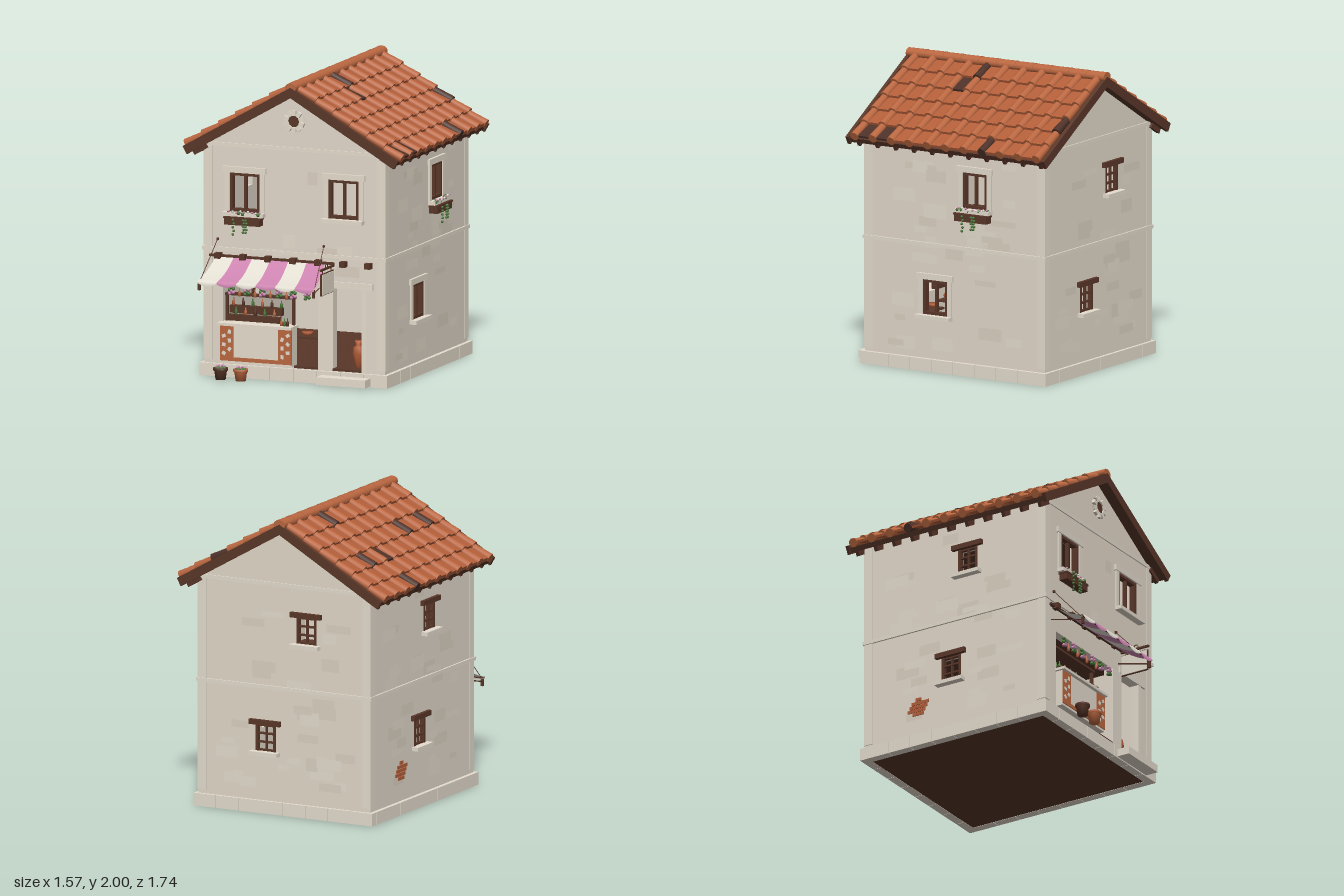
import * as THREE from 'three';
import { mergeGeometries } from 'three/addons/utils/BufferGeometryUtils.js';

const mat = (name, color, side = THREE.FrontSide) => {
  const m = new THREE.MeshStandardMaterial({ color, side });
  m.name = name;
  return m;
};
const M = {
  plaster: mat('plaster', 0xe4dacb), worn: mat('wornPlaster', 0xdcd2c2), stone: mat('paleStone', 0xe6ddce),
  wood: mat('darkWood', 0x5a3729), tile: mat('terracotta', 0xbc6841), pan: mat('deepTerracotta', 0xb45e3a),
  burnt: mat('burntTile', 0x4e3229), pink: mat('mauve', 0xcd84b0, THREE.DoubleSide),
  cloth: mat('offWhite', 0xe4dfd3, THREE.DoubleSide), green: mat('leafGreen', 0x4c7a3a),
};

const box = (w, h, d, x = 0, y = 0, z = 0) => new THREE.BoxGeometry(w, h, d).translate(x, y, z);
// box given by its limits
const span = (x0, x1, y0, y1, z0, z1) => box(x1 - x0, y1 - y0, z1 - z0, (x0 + x1) / 2, (y0 + y1) / 2, (z0 + z1) / 2);
const ball = (r, x, y, z) => new THREE.SphereGeometry(r, 10, 7).translate(x, y, z);
const lathe = (pts, x, y, z) =>
  new THREE.LatheGeometry(pts.map(p => new THREE.Vector2(...p)), 12).translate(x, y, z);
const rod = (a, b, r) => {
  const p = new THREE.Vector3(...a), d = new THREE.Vector3(...b).sub(p);
  const q = new THREE.Quaternion().setFromUnitVectors(new THREE.Vector3(0, 1, 0), d.clone().normalize());
  return new THREE.CylinderGeometry(r, r, d.length(), 6).applyQuaternion(q).translate(...p.addScaledVector(d, 0.5).toArray());
};
function add(parent, name, material, ...geos) {
  const mesh = new THREE.Mesh(mergeGeometries(geos.flat().map(g => (g.index ? g.toNonIndexed() : g))), material);
  mesh.name = name;
  parent.add(mesh);
}
function group(parent, name, x = 0, y = 0, z = 0, ry = 0) {
  const g = new THREE.Group();
  g.name = name;
  g.position.set(x, y, z);
  g.rotation.y = ry;
  parent.add(g);
  return g;
}
let seed = 7;
const rnd = () => (seed = (seed * 16807) % 2147483647) / 2147483647;

// Wall with rectangular openings [x0, x1, y0, y1]; its outer face lies on local z = 0
function wall(parent, outline, holes, reach) {
  const shape = new THREE.Shape(outline.map(p => new THREE.Vector2(...p)));
  for (const [a, b, c, d] of holes)
    shape.holes.push(new THREE.Path([[a, c], [a, d], [b, d], [b, c]].map(p => new THREE.Vector2(...p))));
  add(parent, 'wall', M.plaster, new THREE.ExtrudeGeometry(shape, { depth: 0.06, bevelEnabled: false }).translate(0, 0, -0.06));
  const patches = [[], []];
  for (let i = 0; i < 40; i++) {
    const x = reach[0] + 0.18 + rnd() * (reach[1] - reach[0] - 0.36), y = 0.16 + rnd() * 1.3;
    const w = 0.035 + rnd() * 0.06, h = 0.018 + rnd() * 0.028;
    const hit = holes.some(([a, b, c, d]) => x + w > a - 0.05 && x - w < b + 0.05 && y + h > c - 0.05 && y - h < d + 0.05);
    if (!hit) patches[i % 2].push(new THREE.PlaneGeometry(w * 2, h * 2).translate(x, y, 0.0006 + i * 0.00003));
  }
  add(parent, 'wornPatches', M.worn, patches[0]);
  add(parent, 'palePatches', M.stone, patches[1]);
}

// Frame with a mullion and stone surround
function largeWindow(parent, [x0, x1, y0, y1]) {
  const g = group(parent, 'largeWindow', (x0 + x1) / 2, (y0 + y1) / 2, 0), w = x1 - x0, h = y1 - y0, t = 0.02;
  add(g, 'woodFrame', M.wood, box(w, t, 0.04, 0, h / 2 - t / 2, -0.015), box(w, t, 0.04, 0, -h / 2 + t / 2, -0.015),
    [-1, 1].map(s => box(t, h, 0.04, s * (w - t) / 2, 0, -0.015)), box(0.016, h, 0.025, 0, 0, -0.015));
  add(g, 'stoneSurround', M.stone, [-1, 1].map(s => box(0.034, h, 0.024, s * (w / 2 + 0.017), 0, 0)),
    box(w + 0.09, 0.04, 0.03, 0, h / 2 + 0.02, 0.003), box(w + 0.075, 0.026, 0.07, 0, -h / 2 - 0.013, 0.015));
}
// Latticed window with a timber lintel and a stone sill
function smallWindow(parent, [x0, x1, y0, y1]) {
  const g = group(parent, 'smallWindow', (x0 + x1) / 2, (y0 + y1) / 2, 0), w = x1 - x0, h = y1 - y0;
  add(g, 'lattice', M.wood, [-1, 1].map(s => box(0.018, h, 0.03, s * (w / 2 - 0.009), 0, -0.012)), box(0.01, h, 0.02, 0, 0, -0.012),
    [-0.46, -0.16, 0.16, 0.46].map(k => box(w, 0.012, 0.02, 0, k * h, -0.012)), box(0.23, 0.034, 0.05, 0, h / 2 + 0.015, 0));
  add(g, 'sill', M.stone, box(0.21, 0.026, 0.08, 0, -h / 2 - 0.012, 0.007));
}
function flowerBox(parent, x, y) {
  const g = group(parent, 'flowerBox', x, y, 0.035);
  const leaves = [], blooms = [[], []];
  add(g, 'planter', M.wood, box(0.25, 0.052, 0.06), box(0.262, 0.012, 0.066, 0, 0.022, 0));
  for (let i = 0; i < 9; i++) {
    const px = -0.11 + i * 0.0275, py = 0.038 + rnd() * 0.016;
    leaves.push(ball(0.013, px, py, rnd() * 0.03 - 0.015));
    blooms[i % 2].push(ball(0.008, px + 0.01, py + 0.012, 0.012));
  }
  for (const px of [-0.06, 0.012, 0.03])
    for (let k = 0; k < 5; k++) leaves.push(ball(0.009, px + (k % 2) * 0.006, 0.01 - k * 0.022 * (px < 0 ? 1.1 : 0.9), 0.037));
  add(g, 'foliage', M.green, leaves);
  add(g, 'mauveBlooms', M.pink, blooms[0]);
  add(g, 'whiteBlooms', M.cloth, blooms[1]);
}

function buildWalls(house) {
  const gable = [[-0.643, 0.08], [0.643, 0.08], [0.643, 1.535], [0, 1.905], [-0.643, 1.535]];
  const side = (a, b) => [[a, 0.08], [b, 0.08], [b, 1.54], [a, 1.54]];
  const front = group(house, 'frontWall', 0, 0, 0.606), back = group(house, 'backWall', 0, 0, -0.798, Math.PI);
  const left = group(house, 'leftWall', 0.643, 0, 0, Math.PI / 2), right = group(house, 'rightWall', -0.643, 0, 0, -Math.PI / 2);
  const fw = [[-0.46, -0.245, 1.105, 1.365], [0.243, 0.46, 1.105, 1.365]];
  wall(front, gable, [...fw, [-0.51, 0.17, 0.1, 0.64], [0.275, 0.48, 0.1, 0.64]], [-0.643, 0.643]);
  fw.forEach(w => largeWindow(front, w));
  flowerBox(front, -0.35, 1.05);
  const lw = [[0.16, 0.35, 1.125, 1.365], [-0.15, 0.04, 0.38, 0.615]];
  wall(left, side(-0.55, 0.74), lw, [-0.55, 0.74]);
  lw.forEach(w => largeWindow(left, w));
  flowerBox(left, 0.255, 1.07);
  const bw = [[0.09, 0.24, 1.165, 1.345], [-0.215, -0.065, 0.415, 0.595]];
  wall(back, gable, bw, [-0.643, 0.643]);
  bw.forEach(w => smallWindow(back, w));
  const rw = [[-0.07, 0.08, 1.165, 1.345], [-0.2, -0.05, 0.415, 0.595]];
  wall(right, side(-0.74, 0.55), rw, [-0.74, 0.55]);
  rw.forEach(w => smallWindow(right, w));
  // bare brick showing through the plaster
  add(right, 'exposedBricks', M.pan, [[-0.5, -2], [0.4, -2], [0, -1], [1, -1], [-1, -1], [-1, 0], [0, 0], [1, 0], [0, 1], [1, 1], [-1, 1], [0, 2]].map(([i, j]) =>
    box(0.043, 0.022, 0.008, -0.38 + i * 0.046 + (j % 2) * 0.014, 0.29 + j * 0.026, 0.002)));
  // round gable vent
  add(front, 'ventRing', M.stone, Array.from({ length: 10 }, (_, i) =>
    box(0.028, 0.036, 0.03, 0, 0.056, 0.005).rotateZ(i * Math.PI / 5).translate(0, 1.735, 0)));
  add(front, 'ventCover', M.wood, new THREE.CylinderGeometry(0.044, 0.044, 0.02, 16).rotateX(Math.PI / 2).translate(0, 1.735, 0));
  // corner strips and string courses
  const trim = [];
  for (const x of [-0.617, 0.617]) for (const z of [0.58, -0.77]) trim.push(span(x - 0.031, x + 0.031, 0.11, 1.54, z - 0.033, z + 0.031));
  trim.push(span(-0.655, 0.655, 0.838, 0.862, 0.55, 0.617), span(-0.655, 0.655, 0.838, 0.862, -0.809, -0.74));
  for (const s of [-1, 1]) trim.push(box(0.05, 0.024, 1.43, s * 0.63, 0.85, -0.095));
  trim.push(span(-0.635, 0.635, 1.535, 1.56, 0.56, 0.614), span(-0.635, 0.635, 1.535, 1.56, -0.806, -0.75));
  add(house, 'cornerStripsAndBands', M.stone, trim);
  // plinth stones and plank floors
  const stones = [], planks = [];
  for (let i = 0; i < 8; i++) {
    for (const z of [0.6, -0.79]) stones.push(box(0.165, 0.085, 0.06, -0.5865 + i * 0.1676, 0.0425, z));
    for (const x of [-0.64, 0.64]) stones.push(box(0.06, 0.085, 0.165, x, 0.0425, -0.683 + i * 0.168));
  }
  for (const z of [0.596, -0.786]) stones.push(box(1.3, 0.078, 0.055, 0, 0.0425, z));
  for (const x of [-0.636, 0.636]) stones.push(box(0.055, 0.078, 1.38, x, 0.0425, -0.095));
  add(house, 'plinthStones', M.stone, stones);
  for (let i = 0; i < 11; i++) for (const y of [0.09, 0.855]) planks.push(box(1.2, 0.016, 0.116, 0, y, -0.69 + i * 0.12));
  add(house, 'floors', M.wood, span(-0.615, 0.615, 0.002, 0.08, -0.765, 0.575), planks, box(1.2, 0.01, 1.33, 0, 0.84, -0.09));
}

function buildRoof(house) {
  const roof = group(house, 'roof', 0, 1.9, -0.1), slope = Math.atan(0.575), step = 0.142;
  // burnt tiles as "course,row" for each side
  const sides = [
    { name: 'leftSlope', s: 1, covers: ['3,-5', '5,-2', '0,1'], pans: ['1,1', '5,3', '5,4'] },
    { name: 'rightSlope', s: -1, covers: ['5,-2', '3,-3', '0,-2', '2,2', '2,4'], pans: ['3,-2'] }];
  for (const { name, s, covers, pans } of sides) {
    const g = group(roof, name);
    g.rotation.set(0, s > 0 ? 0 : Math.PI, -slope);
    const cover = [], pan = [], burnt = [], tails = [];
    for (let j = -5; j <= 5; j++) {
      tails.push(span(0.72, 0.83, -0.025, 0.012, s * j * step - 0.012, s * j * step + 0.012));
      for (let i = 0; i < 6; i++) {
        const u = 0.005 + (i + 0.5) * 0.14;
        const c = new THREE.CylinderGeometry(0.026, 0.031, 0.148, 10).rotateZ(Math.PI / 2 + 0.08).translate(u, 0.064, s * j * step);
        (covers.includes(`${i},${j}`) ? burnt : cover).push(c);
        if (j === 5) continue;
        const p = box(0.148, 0.016, 0.124).rotateZ(0.15).translate(u - 0.004, 0.058, s * (j + 0.5) * step);
        (pans.includes(`${i},${j}`) ? burnt : pan).push(p);
      }
    }
    add(g, 'coverTiles', M.tile, cover);
    add(g, 'panTiles', M.pan, pan);
    add(g, 'burntTiles', M.burnt, burnt);
    add(g, 'deckAndBargeboards', M.wood, tails, span(0, 0.838, 0.008, 0.042, -0.76, 0.77),
      [-0.76, 0.77].map(z => span(-0.035, 0.85, 0, 0.06, s * z - 0.012, s * z + 0.012)));
  }
  // broad, shallow ridge caps
  add(roof, 'ridgeTiles', M.tile, Array.from({ length: 11 }, (_, i) =>
    new THREE.CylinderGeometry(0.04, 0.043, 0.15, 12).rotateX(Math.PI / 2).scale(1, 0.8, 1).translate(0, 0.066, -0.695 + i * 0.14)));
}

function buildShop(house) {
  const shop = group(house, 'shopFront');
  // counter with chipped terracotta panels
  add(shop, 'counter', M.stone, span(-0.51, 0, 0.1, 0.35, 0.57, 0.655), span(-0.525, 0.005, 0.35, 0.368, 0.55, 0.68));
  add(shop, 'counterPanels', M.tile, span(-0.51, -0.415, 0.115, 0.35, 0.655, 0.661), span(-0.095, 0, 0.115, 0.35, 0.655, 0.661),
    span(-0.415, -0.095, 0.115, 0.14, 0.655, 0.661));
  add(shop, 'panelChips', M.cloth, [-0.463, -0.048].flatMap(x => Array.from({ length: 6 }, (_, i) =>
    box(0.026, 0.022, 0.004).rotateZ(rnd() * 3).translate(x + (i % 2 ? 0.022 : -0.018), 0.165 + i * 0.029, 0.662))));
  // display frame, crates and inner shelf
  add(shop, 'displayFrame', M.wood, [-0.495, -0.02].map(x => span(x - 0.008, x + 0.008, 0.365, 0.555, 0.56, 0.58)),
    span(-0.503, -0.012, 0.54, 0.556, 0.55, 0.59), span(-0.49, -0.12, 0.37, 0.41, 0.54, 0.58), span(-0.49, -0.12, 0.414, 0.465, 0.5, 0.54),
    span(0, 0.17, 0.275, 0.288, 0.4, 0.54), span(0, 0.17, 0.09, 0.105, 0.55, 0.615), span(0.275, 0.48, 0.09, 0.105, 0.55, 0.615));
  const bottle = [[0, 0], [0.01, 0], [0.01, 0.026], [0.004, 0.036], [0.004, 0.05], [0, 0.05]];
  const row = [[], [], []];
  for (let i = 0; i < 11; i++) row[i % 3].push(lathe(bottle, -0.47 + i * 0.034, i % 2 ? 0.41 : 0.465, i % 2 ? 0.56 : 0.52));
  [-0.085, -0.062, -0.04].forEach((x, i) => row[i].push(lathe(bottle, x, 0.368, 0.63)));
  for (const x of [-0.385, -0.275, -0.165, -0.05]) row[0].push(lathe(bottle, x, 0.545, 0.625));
  [M.tile, M.green, M.wood].forEach((m, i) => add(shop, 'bottles', m, row[i]));
  // jars and bowl
  const jar = [[0, 0], [0.02, 0], [0.04, 0.09], [0.032, 0.135], [0.016, 0.15], [0.024, 0.18], [0, 0.175]];
  add(shop, 'jars', M.pan, lathe(jar, 0.41, 0.105, 0.5), lathe(jar, 0.485, 0.105, 0.44),
    lathe([[0, 0], [0.02, 0], [0.038, 0.025], [0, 0.02]], 0.035, 0.288, 0.47),
    lathe(jar.map(([r, y]) => [r * 0.55, y * 0.3]), 0.57, 0.478, 0.015));
  add(shop, 'windowShelf', M.wood, span(0.5, 0.615, 0.466, 0.478, -0.035, 0.065));
  // hanging bunches
  const bunches = [[], []];
  [-0.44, -0.33, -0.22, -0.1, 0, 0.1].forEach((x, i) => {
    for (let k = 0; k < 7; k++) bunches[(i + (k > 3)) % 2].push(ball(0.012, x + (k % 3 - 1) * 0.013, 0.608 - k * 0.008, 0.63));
  });
  add(shop, 'herbBunches', M.green, bunches[0]);
  add(shop, 'flowerBunches', M.pink, bunches[1]);
  // door lintel and step
  add(shop, 'doorStone', M.stone, span(0.25, 0.56, 0.64, 0.685, 0.58, 0.618), span(0.48, 0.51, 0.09, 0.64, 0.57, 0.614),
    span(0.17, 0.275, 0.09, 0.64, 0.57, 0.614), span(0.2, 0.55, 0.008, 0.06, 0.62, 0.72));
  // timber joists, beam and awning rods
  add(shop, 'joistsAndBeam', M.wood, [-0.535, -0.357, -0.18, 0, 0.177, 0.355, 0.533].map(x => box(0.04, 0.038, 0.07, x, 0.807, 0.615)),
    span(-0.6, 0.285, 0.798, 0.813, 0.606, 0.628), rod([-0.585, 0.662, 0.862], [0.25, 0.662, 0.862], 0.005),
    [[-0.545, -0.575], [0.21, 0.24]].flatMap(([a, b]) => [rod([a, 0.915, 0.612], [b, 0.67, 0.84], 0.0025),
      box(0.014, 0.014, 0.014, a, 0.915, 0.612), box(0.016, 0.045, 0.016, b, 0.632, 0.855), rod([b, 0.64, 0.85], [b, 0.7, 0.61], 0.004)]));
  // striped awning with scalloped valance
  for (let k = 0; k < 6; k++) {
    const g = new THREE.PlaneGeometry(1, 1, 6, 8), p = g.attributes.position;
    for (let i = 0; i < p.count; i++) {
      const t = p.getX(i) + 0.5, s = 0.5 - p.getY(i), f = (k + t) / 6, d = Math.min(s / 0.875, 1);
      const drop = s > 0.99 ? 0.012 + 0.018 * Math.sin(Math.PI * t) : 0;
      p.setXYZ(i, -0.555 - 0.03 * d + f * (0.775 + 0.06 * d), 0.8 - 0.13 * d - 0.02 * Math.sin(Math.PI * d) - drop, 0.622 + 0.248 * d);
    }
    g.computeVertexNormals();
    add(shop, 'awningStripe', k % 2 ? M.pink : M.cloth, g);
  }
  // hanging board on its bracket
  add(shop, 'boardBracket', M.wood, span(0.27, 0.284, 0.785, 0.798, 0.61, 0.825), span(0.271, 0.283, 0.62, 0.765, 0.615, 0.82),
    [0.65, 0.79].map(z => rod([0.277, 0.76, z], [0.277, 0.79, z], 0.003)), new THREE.TorusGeometry(0.016, 0.003, 5, 12).rotateY(Math.PI / 2).translate(0.277, 0.806, 0.725));
  add(shop, 'boardFaces', M.stone, [0.269, 0.285].map(x => box(0.004, 0.137, 0.197, x, 0.6925, 0.7175)));
  // potted plants by the counter
  const pot = [[0, 0], [0.034, 0], [0.042, 0.06], [0.049, 0.06], [0.05, 0.078], [0.04, 0.078], [0, 0.068]];
  [[-0.455, M.wood], [-0.312, M.tile]].forEach(([x, m]) => {
    const g = group(shop, 'pottedPlant', x, 0.01, 0.778);
    add(g, 'pot', m, lathe(pot, 0, 0, 0));
    const ring = (n, r, q, y) => Array.from({ length: n }, (_, i) => ball(q, r * Math.cos(i * 6.283 / n), y, r * Math.sin(i * 6.283 / n)));
    add(g, 'leaves', M.green, ring(7, 0.026, 0.013, 0.076), ball(0.015, 0, 0.078, 0));
    add(g, 'blooms', M.pink, ring(5, 0.024, 0.008, 0.088));
  });
}

export function createModel() {
  const house = new THREE.Group();
  house.name = 'shopHouse';
  buildWalls(house);
  buildRoof(house);
  buildShop(house);
  return house;
}
